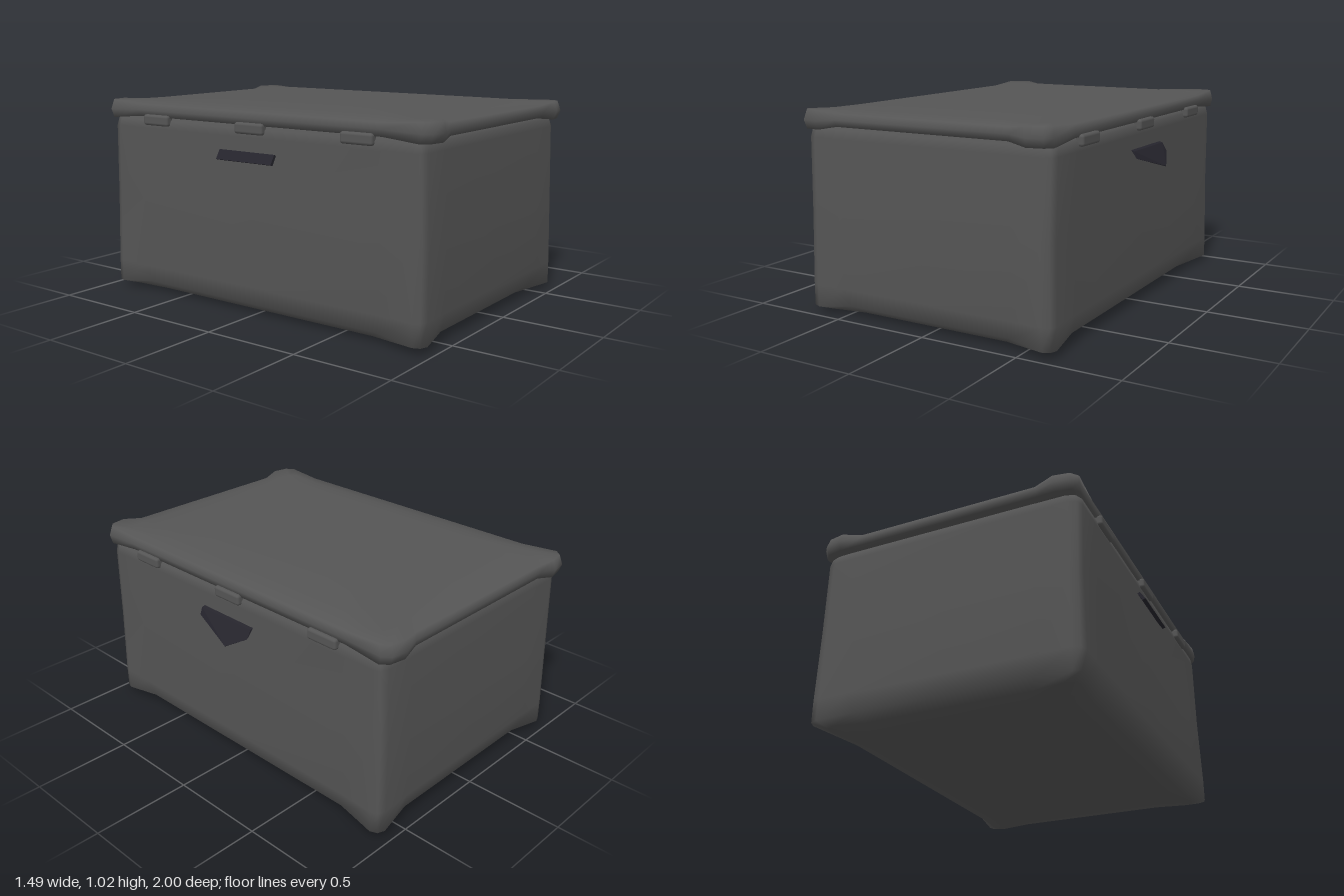
import * as THREE from 'three';
import { ConvexGeometry } from 'three/addons/geometries/ConvexGeometry.js';
import { RoundedBoxGeometry } from 'three/addons/geometries/RoundedBoxGeometry.js';

const CENTRE_X = -0.025;

// One soft rectangular loop: a, b, y place the edges; ca, cb, cy place the corners.
function ring({ a, b, y, ca = a, cb = b, cy = y, cx = 0.05, cz = 0.05 }) {
  const quarter = [
    [a, y, b - 0.22],
    [ca, cy, cb - cz],
    [ca - cx * 0.28, cy, cb - cz * 0.28],
    [ca - cx, cy, cb],
    [a - 0.2, y, b],
  ];
  const quarters = [[1, 1, [a, 0]], [-1, 1, [0, b]], [-1, -1, [-a, 0]], [1, -1, [0, -b]]];
  const points = [];
  for (const [sx, sz, mid] of quarters) {
    points.push([mid[0], y, mid[1]]);
    const list = sx * sz > 0 ? quarter : [...quarter].reverse();
    for (const [px, py, pz] of list) points.push([px * sx, py, pz * sz]);
  }
  return points;
}

// Skins a stack of loops from bottom to top and closes both ends.
function loft(specs, bottomY, topY) {
  const loops = specs.map(ring);
  const n = loops[0].length;
  const positions = loops.flat(2);
  const index = [];
  for (let r = 0; r < loops.length - 1; r++) {
    for (let i = 0; i < n; i++) {
      const j = (i + 1) % n;
      const a = r * n + i, b = r * n + j, c = a + n, d = b + n;
      index.push(a, c, b, b, c, d);
    }
  }
  const bottom = loops.length * n, top = bottom + 1, last = bottom - n;
  positions.push(0, bottomY, 0, 0, topY, 0);
  for (let i = 0; i < n; i++) {
    const j = (i + 1) % n;
    index.push(bottom, i, j, top, last + j, last + i);
  }
  const geometry = new THREE.BufferGeometry();
  geometry.setAttribute('position', new THREE.Float32BufferAttribute(positions, 3));
  geometry.setIndex(index);
  geometry.computeVertexNormals();
  return geometry;
}

export function createModel() {
  const model = new THREE.Group();
  model.name = 'storageBox';
  const plastic = new THREE.MeshStandardMaterial({ color: 0x555555 });
  plastic.name = 'greyPlastic';
  const dark = new THREE.MeshStandardMaterial({ color: 0x25242c });
  dark.name = 'darkHandle';

  function add(name, geometry, material, x = 0, y = 0, z = 0) {
    const mesh = new THREE.Mesh(geometry, material);
    mesh.name = name;
    mesh.position.set(x, y, z);
    model.add(mesh);
    return mesh;
  }

  // Tub with rounded bottom edges and pointed bottom corners
  add('body', loft([
    { y: 0, a: 0.53, b: 0.78 },
    { y: 0.012, a: 0.605, b: 0.88, ca: 0.62, cb: 0.91 },
    { y: 0.05, a: 0.65, b: 0.93, ca: 0.678, cb: 0.962, cy: 0.03 },
    { y: 0.14, a: 0.672, b: 0.955, ca: 0.678, cb: 0.962 },
    { y: 0.5, a: 0.666, b: 0.955, ca: 0.67, cb: 0.957 },
    { y: 0.87, a: 0.672, b: 0.947 },
    { y: 0.91, a: 0.665, b: 0.938 },
    { y: 0.93, a: 0.645, b: 0.92 },
  ], 0, 0.93), plastic, CENTRE_X);

  // Lid with a low crown and swollen corners
  const corner = { cx: 0.11, cz: 0.05 };
  add('lid', loft([
    { y: 0.928, a: 0.63, b: 0.91 },
    { y: 0.93, a: 0.668, b: 0.962, ca: 0.675, cb: 0.985, cy: 0.913, ...corner },
    { y: 0.962, a: 0.678, b: 0.972, ca: 0.68, cb: 1.0, cy: 0.955, ...corner },
    { y: 0.99, a: 0.664, b: 0.958, ca: 0.672, cb: 0.985, cy: 1.004, ...corner },
    { y: 1.003, a: 0.58, b: 0.86, ca: 0.6, cb: 0.88, ...corner },
    { y: 1.013, a: 0.5, b: 0.7 },
  ], 0.928, 1.02), plastic, CENTRE_X);

  // Three latches under the lid on each long side
  for (const side of [-1, 1]) {
    for (const z of [-0.615, 0.005, 0.62]) {
      add('latch', new RoundedBoxGeometry(0.045, 0.055, 0.172, 2, 0.014), plastic,
        CENTRE_X + side * 0.668, 0.915, z);
    }
  }

  // Left handle: a tapered flap tilted away from the wall
  const flap = [
    [0.655, 0.805, 0.18], [0.655, 0.805, -0.17], [0.672, 0.8, 0.18], [0.672, 0.8, -0.17],
    [0.685, 0.765, 0.18], [0.695, 0.76, -0.17], [0.74, 0.7, -0.06], [0.735, 0.698, -0.06],
  ];
  add('leftHandle', new ConvexGeometry(flap.map((p) => new THREE.Vector3(...p))), dark);

  // Right handle: a straight tilted bar
  const bar = new THREE.Shape([
    [-0.746, 0.762], [-0.73, 0.757], [-0.705, 0.8], [-0.717, 0.807],
  ].map((p) => new THREE.Vector2(...p)));
  add('rightHandle', new THREE.ExtrudeGeometry(bar, { depth: 0.34, bevelEnabled: false }),
    dark, 0, 0, -0.17);

  return model;
}
